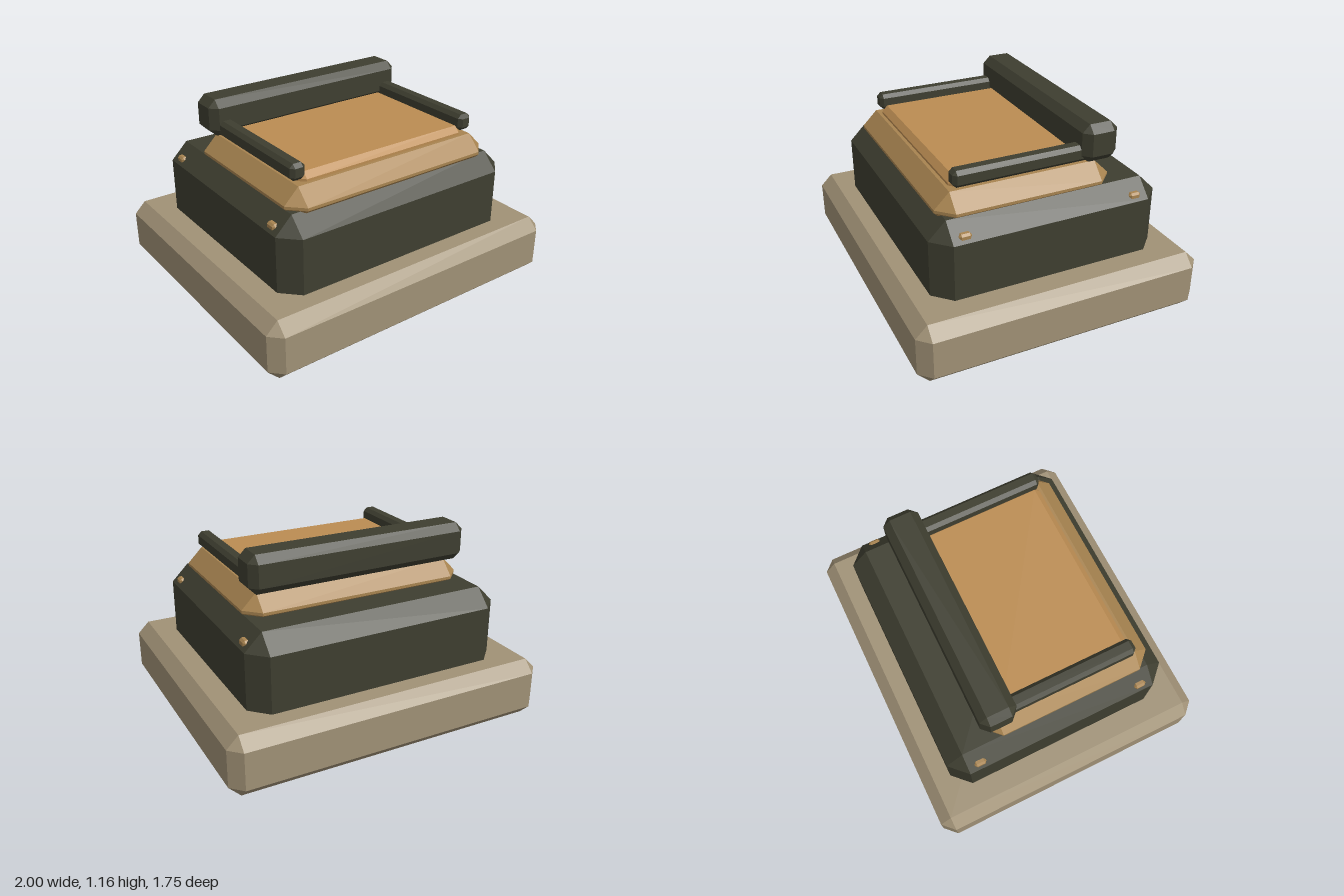
import * as THREE from 'three';
import { ConvexGeometry } from 'three/addons/geometries/ConvexGeometry.js';

function material(name, color) {
  const m = new THREE.MeshStandardMaterial({ color });
  m.name = name;
  return m;
}

// Box between two corners with every edge cut at 45 degrees by c
function chamferBox(name, mat, [x0, x1], [y0, y1], [z0, z1], c) {
  const half = [(x1 - x0) / 2, (y1 - y0) / 2, (z1 - z0) / 2];
  const points = [];
  for (const sx of [-1, 1]) for (const sy of [-1, 1]) for (const sz of [-1, 1]) {
    for (let axis = 0; axis < 3; axis++) {
      const [x, y, z] = half.map((h, i) => (i === axis ? h : h - c));
      points.push(new THREE.Vector3(sx * x, sy * y, sz * z));
    }
  }
  const mesh = new THREE.Mesh(new ConvexGeometry(points), mat);
  mesh.name = name;
  mesh.position.set((x0 + x1) / 2, (y0 + y1) / 2, (z0 + z1) / 2);
  return mesh;
}

export function createModel() {
  const stone = material('stone beige', 0xa09176);
  const dark = material('dark olive', 0x3e3e30);
  const tan = material('tan', 0xa88450);
  const orange = material('warm orange', 0xbb8c52);

  const model = new THREE.Group();
  model.name = 'chamferedSeat';

  // Stacked blocks from the ground up
  model.add(
    chamferBox('base', stone, [-1, 1], [0, 0.365], [-0.875, 0.875], 0.07),
    chamferBox('body', dark, [-0.8, 0.8], [0.22, 0.803], [-0.7, 0.7], 0.103),
    chamferBox('cushion', tan, [-0.705, 0.705], [0.72, 0.917], [-0.43, 0.63], 0.09),
    chamferBox('seatPanel', orange, [-0.58, 0.58], [0.88, 0.965], [-0.3, 0.52], 0.034),
    chamferBox('backrest', dark, [-0.688, 0.688], [0.932, 1.157], [-0.455, -0.235], 0.045),
  );

  // Armrests and side studs, mirrored left and right
  for (const side of [-1, 1]) {
    const span = (a, b) => (side > 0 ? [a, b] : [-b, -a]);
    const label = side > 0 ? 'left' : 'right';
    model.add(chamferBox(label + 'Armrest', dark, span(0.55, 0.643), [0.935, 1.033], [-0.3, 0.525], 0.022));
    for (const z of [-0.52, 0.52]) {
      const end = z > 0 ? 'Front' : 'Back';
      model.add(chamferBox(label + end + 'Stud', tan, span(0.71, 0.785), [0.69, 0.746], [z - 0.036, z + 0.036], 0.012));
    }
  }
  return model;
}
